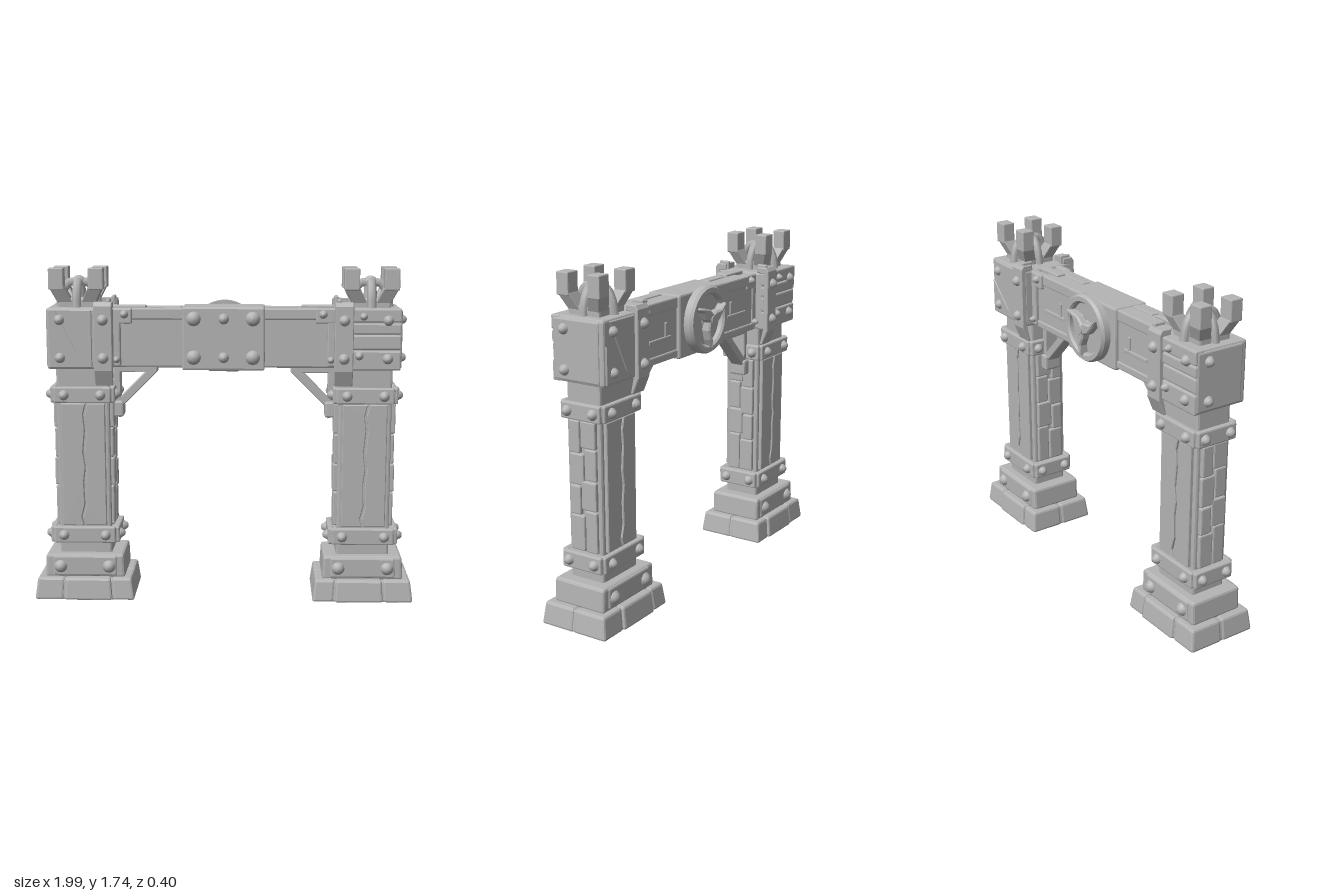
import * as THREE from 'three';
import { RoundedBoxGeometry } from 'three/addons/geometries/RoundedBoxGeometry.js';

const stone = new THREE.MeshStandardMaterial({ color: 0xb4b4b4 });
stone.name = 'grey stone';

function add(parent, name, geo, x = 0, y = 0, z = 0) {
  const m = new THREE.Mesh(geo, stone);
  m.name = name;
  m.position.set(x, y, z);
  parent.add(m);
  return m;
}

// Bevelled block given by its limits; warp(v, t) may move vertices, t = 0 at the bottom and 1 at the top
function block(parent, name, [x0, x1], [y0, y1], [z0, z1], bevel = 0.008, warp = null) {
  const w = x1 - x0, h = y1 - y0, d = z1 - z0;
  const g = new RoundedBoxGeometry(w, h, d, 1, Math.min(bevel, w / 3, h / 3, d / 3));
  if (warp) {
    const p = g.attributes.position, v = new THREE.Vector3();
    for (let i = 0; i < p.count; i++) {
      v.fromBufferAttribute(p, i);
      warp(v, v.y / h + 0.5);
      p.setXYZ(i, v.x, v.y, v.z);
    }
  }
  g.computeVertexNormals();
  return add(parent, name, g, (x0 + x1) / 2, (y0 + y1) / 2, (z0 + z1) / 2);
}

// Domed rivet on a collar, pointing along dir
function rivet(parent, x, y, z, r, dir) {
  const pts = [[r, -0.005], [r, 0.006], [r * 0.8, 0.011], [r * 0.72, 0.018], [r * 0.4, 0.026], [0, 0.028]];
  const g = new THREE.LatheGeometry(pts.map(p => new THREE.Vector2(...p)), 12);
  const m = add(parent, 'rivet', g, x, y, z);
  m.quaternion.setFromUnitVectors(new THREE.Vector3(0, 1, 0), new THREE.Vector3(...dir));
}

// Flat outline extruded around z = 0
function plate(points, depth, holes = [], bevel = 0.004) {
  const s = new THREE.Shape(points.map(p => new THREE.Vector2(...p)));
  for (const h of holes) s.holes.push(new THREE.Path(h.map(p => new THREE.Vector2(...p))));
  const g = new THREE.ExtrudeGeometry(s, {
    depth: depth - 2 * bevel, bevelEnabled: true, bevelThickness: bevel, bevelSize: bevel, bevelOffset: -bevel, bevelSegments: 1,
  });
  g.translate(0, 0, -depth / 2 + bevel);
  return g;
}

// Riveted collar around the shaft
function collar(parent, name, hx, y0, y1, hz, bx) {
  const g = new THREE.Group();
  g.name = name;
  block(g, 'collarCore', [-hx + 0.012, hx - 0.012], [y0 + 0.004, y1 - 0.004], [-hz + 0.012, hz - 0.012]);
  const y = (y0 + y1) / 2;
  for (const s of [-1, 1]) {
    block(g, 'collarFace', [-hx + 0.02, hx - 0.02], [y0, y1], s > 0 ? [hz - 0.03, hz] : [-hz, -hz + 0.03], 0.008);
    block(g, 'collarSide', s > 0 ? [hx - 0.03, hx] : [-hx, -hx + 0.03], [y0, y1], [-hz + 0.015, hz - 0.015], 0.008);
    for (const t of [-1, 1]) {
      rivet(g, t * bx, y, s * hz, 0.027, [0, 0, s]);
      rivet(g, s * hx, y, t * 0.075, 0.027, [s, 0, 0]);
    }
  }
  parent.add(g);
}

// Pillar centred on its own axis, with +x pointing away from the beam
function makePillar() {
  const p = new THREE.Group();
  // Tapered footing of separate stones
  const taper = (v, t) => { v.x *= 1 - 0.06 * t; v.z *= 1 - 0.07 * t; };
  block(p, 'footingCore', [-0.258, 0.258], [0, 0.112], [-0.186, 0.186], 0.01, taper);
  const splits = [-0.267, -0.15, 0.11, 0.267];
  for (const s of [-1, 1]) for (let i = 0; i < 3; i++) {
    const out = i === 1 ? 0.2 : 0.192;
    block(p, 'footingStone', [splits[i] + 0.003, splits[i + 1] - 0.003], [0, 0.118],
      s > 0 ? [0.004, out] : [-out, -0.004], 0.012, (v, t) => {
        const x = v.x + (splits[i] + splits[i + 1]) / 2;
        v.x -= x * 0.06 * t;
        if (v.z * s > 0) v.z -= s * 0.014 * t;
      });
  }
  // Plinth with rivets
  block(p, 'plinth', [-0.212, 0.212], [0.11, 0.238], [-0.148, 0.148], 0.014, (v, t) => { v.x *= 1 - 0.03 * t; });
  for (const s of [-1, 1]) {
    block(p, 'plinthFace', [-0.17, 0.17], [0.122, 0.232], s > 0 ? [0.12, 0.155] : [-0.155, -0.12], 0.01);
    for (const t of [-1, 1]) rivet(p, t * 0.128, 0.175, s * 0.153, 0.034, [0, 0, s]);
  }
  // Shaft core, cracked face slabs and stacked side stones
  block(p, 'shaftCore', [-0.138, 0.138], [0.22, 1.24], [-0.098, 0.098], 0.012);
  const crack = [[0, 0.39], [-0.012, 0.43], [0.006, 0.5], [0.002, 0.62], [0.012, 0.7], [0.001, 0.78], [0.012, 0.9], [0.004, 0.98], [0.018, 1.04]];
  const slabs = [-1, 1].map(s => plate([[s * 0.115, 1.04], [s * 0.115, 0.39], ...crack.map(([x, y]) => [x + s * 0.005, y])], 0.024));
  for (const s of [-1, 1]) {
    for (const g of slabs) {
      const m = add(p, 'shaftSlab', g, 0, 0, s * 0.104);
      if (s < 0) m.rotation.y = Math.PI;
    }
    const rows = [0.385, 0.57, 0.72, 0.88, 1.045];
    for (let i = 0; i < 4; i++) {
      const off = i % 2 ? 0.012 : -0.006, out = 0.157 + (i % 2) * 0.004;
      block(p, 'sideStone', s > 0 ? [0.1, out] : [-out, -0.1], [rows[i] + 0.002, rows[i + 1] - 0.002], [off + 0.002, 0.076], 0.007);
      block(p, 'sideStone', s > 0 ? [0.1, out - 0.003] : [-out + 0.003, -0.1],
        [rows[i] + (i ? 0.03 : 0), rows[i + 1] + (i < 3 ? 0.026 : 0)], [-0.076, off - 0.002], 0.007);
    }
  }
  collar(p, 'lowerCollar', 0.182, 0.295, 0.383, 0.13, 0.11);
  collar(p, 'upperCollar', 0.168, 1.045, 1.13, 0.13, 0.095);

  // Head: solid rear block with planks on the front
  block(p, 'headBlock', [-0.165, 0.172], [1.225, 1.54], [-0.15, 0.135], 0.012);
  for (const [a, b, z] of [[1.225, 1.325, 0.15], [1.33, 1.405, 0.146], [1.41, 1.465, 0.15], [1.47, 1.54, 0.152]])
    block(p, 'headPlank', [-0.165, 0.173], [a, b], [0.1, z], 0.008);
  // Split rear corner panel
  const split = add(p, 'rearPanel', plate([[-0.06, 1.235], [0.16, 1.235], [0.16, 1.42], [0.0, 1.27], [0.13, 1.53], [-0.06, 1.53]], 0.014), 0, 0, -0.15);
  split.name = 'rearPanel';
  block(p, 'outerPanel', [0.15, 0.178], [1.235, 1.53], [-0.125, 0.14], 0.008);
  for (const y of [1.285, 1.48]) {
    rivet(p, 0.177, y, 0.075, 0.027, [1, 0, 0]);
    rivet(p, 0.105, y, 0.15, 0.027, [0, 0, 1]);
    rivet(p, 0.105, y, -0.152, 0.027, [0, 0, -1]);
  }
  rivet(p, -0.04, 1.3, 0.15, 0.022, [0, 0, 1]);
  rivet(p, -0.02, 1.5, 0.15, 0.02, [0, 0, 1]);
  // Vertical straps, bent inward at the foot and hooked over the top
  const strap = plate([[0.12, 1.14], [0.135, 1.14], [0.168, 1.22], [0.168, 1.55], [0.155, 1.57], [0.1, 1.57], [0.1, 1.54], [0.14, 1.535], [0.14, 1.23]], 0.095);
  for (const s of [-1, 1]) {
    const m = add(p, 'strap', strap, -0.118, 0, 0);
    m.rotation.y = -s * Math.PI / 2;
    for (const y of [1.285, 1.48]) rivet(p, -0.118, y, s * 0.167, 0.028, [0, 0, s]);
    block(p, 'strapClip', [-0.155, -0.135], [1.53, 1.585], s > 0 ? [0.09, 0.15] : [-0.15, -0.09], 0.006);
  }

  // Crown: base, four flared prongs, hooks and a centre knob
  const crown = new THREE.Group();
  crown.name = 'crown';
  crown.position.x = 0.022;
  block(crown, 'crownBase', [-0.1, 0.1], [1.53, 1.585], [-0.09, 0.09], 0.01);
  for (const sx of [-1, 1]) for (const sz of [-1, 1]) {
    const xs = [sx * 0.063, sx * 0.14].sort((a, b) => a - b), zs = [sz * 0.055, sz * 0.123].sort((a, b) => a - b);
    block(crown, 'prongTip', xs, [1.63, 1.74], zs, 0.005);
    block(crown, 'prongArm', xs, [1.56, 1.645], zs, 0.005, (v, t) => { v.x -= sx * 0.042 * (1 - t); v.z -= sz * 0.035 * (1 - t); });
  }
  add(crown, 'knobStem', new THREE.CylinderGeometry(0.03, 0.04, 0.14, 10), 0, 1.6, 0);
  add(crown, 'knob', new THREE.SphereGeometry(0.036, 12, 8), 0, 1.662, 0);
  for (let i = 0; i < 4; i++) {
    const path = new THREE.CatmullRomCurve3([[0, 1.665], [0.05, 1.66], [0.085, 1.61], [0.1, 1.53]].map(([x, y]) => new THREE.Vector3(x, y, 0)));
    add(crown, 'hook', new THREE.TubeGeometry(path, 8, 0.024, 6), 0, 0, 0).rotation.y = i * Math.PI / 2;
  }
  p.add(crown);

  // Diagonal brace under the beam
  const brace = plate([[-0.155, 0.965], [-0.19, 0.955], [-0.205, 1.02], [-0.385, 1.2], [-0.385, 1.23], [-0.155, 1.23]], 0.075,
    [[[-0.19, 1.065], [-0.19, 1.195], [-0.32, 1.195]]]);
  add(p, 'brace', brace);
  block(p, 'braceFoot', [-0.205, -0.15], [0.96, 1.045], [-0.05, 0.05], 0.01);
  // Beam-end brackets
  for (const s of [-1, 1]) {
    const z = s > 0 ? [0.05, 0.092] : [-0.105, -0.06];
    block(p, 'beamBracket', [-0.26, -0.15], [1.455, 1.535], z, 0.008);
    block(p, 'beamBracket', [-0.2, -0.15], [1.235, 1.47], z, 0.008);
    rivet(p, -0.222, 1.505, s > 0 ? 0.09 : -0.104, 0.022, [0, 0, s]);
    rivet(p, -0.18, 1.27, s > 0 ? 0.09 : -0.104, 0.018, [0, 0, s]);
  }
  block(p, 'topClip', [-0.33, -0.16], [1.52, 1.545], [-0.045, 0.005], 0.006);
  return p;
}

export function createModel() {
  const model = new THREE.Group();
  model.name = 'stoneGateway';
  for (const s of [1, -1]) {
    const p = makePillar();
    p.name = s > 0 ? 'leftPillar' : 'rightPillar';
    p.position.x = s * 0.732;
    if (s < 0) p.rotation.y = Math.PI;
    model.add(p);
  }

  // Cross beam with rails and inset panels
  const beam = new THREE.Group();
  beam.name = 'beam';
  block(beam, 'beamCore', [-0.6, 0.6], [1.225, 1.525], [-0.085, 0.068], 0.01);
  for (const s of [-1, 1]) {
    const span = (a, b) => (s > 0 ? [a, b] : [-b, -a]);
    block(beam, 'topRail', span(0.2, 0.49), [1.475, 1.533], [-0.092, 0.077], 0.007);
    block(beam, 'bottomRail', span(0.2, 0.56), [1.225, 1.265], [-0.092, 0.06], 0.007);
    block(beam, 'rearInlay', span(0.27, 0.46), [1.33, 1.35], [-0.093, -0.08], 0.004);
    block(beam, 'rearInlay', span(0.3, 0.32), [1.35, 1.42], [-0.093, -0.08], 0.004);
    block(beam, 'topInlay', span(0.22, 0.38), [1.52, 1.54], [-0.005, 0.04], 0.005);
  }
  // Centre sleeve
  block(beam, 'sleeve', [-0.215, 0.212], [1.213, 1.54], [-0.105, 0.086], 0.01);
  block(beam, 'sleeveUnderPlate', [-0.08, 0.08], [1.205, 1.23], [-0.07, 0.06], 0.006);
  for (const x of [-0.155, 0, 0.15]) for (const y of [1.28, 1.48])
    rivet(beam, x, y, 0.085, x ? 0.038 : 0.028, [0, 0, 1]);
  model.add(beam);

  // Round rear medallion: backing, rim and three curved blades
  const medal = new THREE.Group();
  medal.name = 'medallion';
  medal.position.set(0, 1.385, -0.105);
  medal.rotation.y = Math.PI;
  const disc = add(medal, 'backing', new THREE.CylinderGeometry(0.16, 0.16, 0.03, 32), 0, 0, 0.003);
  disc.rotation.x = Math.PI / 2;
  const rim = [[0.132, 0], [0.176, 0], [0.176, 0.034], [0.166, 0.05], [0.142, 0.05], [0.132, 0.04], [0.132, 0]];
  const steps = rim.slice(1).flatMap((b, i) => [rim[i], b].map(q => new THREE.Vector2(...q)));
  add(medal, 'rim', new THREE.LatheGeometry(steps, 36)).rotation.x = Math.PI / 2;
  const blade = plate([[-0.03, -0.01], [0.03, -0.01], [0.04, 0.05], [0.025, 0.1], [0.0, 0.145], [0.002, 0.09], [-0.018, 0.05]], 0.05, [], 0.008);
  for (let i = 0; i < 3; i++) add(medal, 'blade', blade, 0, 0, 0.043).rotation.z = Math.PI / 3 + i * Math.PI * 2 / 3;
  const hub = add(medal, 'hub', new THREE.CylinderGeometry(0.025, 0.045, 0.06, 6), 0, 0, 0.043);
  hub.rotation.x = Math.PI / 2;
  model.add(medal);
  return model;
}
